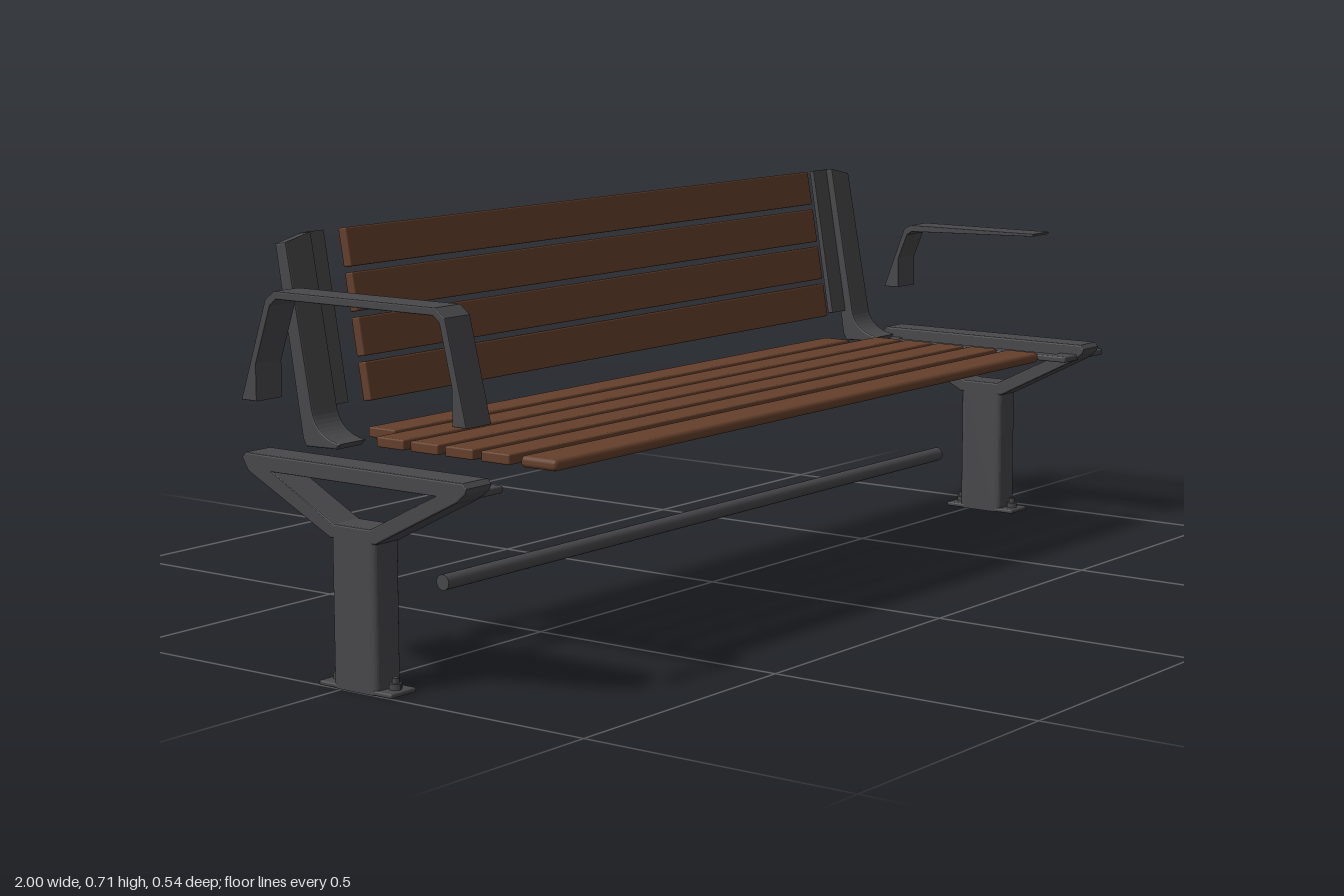
import * as THREE from 'three';
import { RoundedBoxGeometry } from 'three/addons/geometries/RoundedBoxGeometry.js';

const wood = new THREE.MeshStandardMaterial({ color: 0x65402c });
wood.name = 'brown wood';
const metal = new THREE.MeshStandardMaterial({ color: 0x48484b });
metal.name = 'dark grey metal';

function add(parent, name, geometry, material, x = 0, y = 0, z = 0) {
  const mesh = new THREE.Mesh(geometry, material);
  mesh.name = name;
  mesh.position.set(x, y, z);
  parent.add(mesh);
  return mesh;
}

const toShape = pts => new THREE.Shape(pts.map(p => new THREE.Vector2(...p)));

// Side profile given in (z, y), extruded along x and centred on x = 0
function sideExtrude(shape, width, bevel = 0.003) {
  const g = new THREE.ExtrudeGeometry(shape, {
    depth: width - 2 * bevel, bevelEnabled: bevel > 0, bevelSize: bevel,
    bevelOffset: -bevel, bevelThickness: bevel, bevelSegments: 2, curveSegments: 10,
  });
  g.translate(0, 0, -(width - 2 * bevel) / 2);
  g.rotateY(-Math.PI / 2);
  return g;
}

const box = (w, h, d, r = 0.003) => new RoundedBoxGeometry(w, h, d, 2, r);

// Leg: oval-cornered post, Y-shaped arms under a seat beam, slat rails on the given sides
function makeLeg(name, x, railSides) {
  const leg = new THREE.Group();
  leg.name = name;
  leg.position.x = x;

  // Post
  const w = 0.03, d = 0.049, r = 0.014, s = new THREE.Shape();
  s.moveTo(-w + r, -d);
  s.lineTo(w - r, -d).quadraticCurveTo(w, -d, w, -d + r);
  s.lineTo(w, d - r).quadraticCurveTo(w, d, w - r, d);
  s.lineTo(-w + r, d).quadraticCurveTo(-w, d, -w, d - r);
  s.lineTo(-w, -d + r).quadraticCurveTo(-w, -d, -w + r, -d);
  const post = new THREE.ExtrudeGeometry(s, { depth: 0.25, bevelEnabled: false, curveSegments: 6 });
  post.rotateX(-Math.PI / 2);
  add(leg, 'post', post, metal, 0, 0, 0.029);

  // Triangular frame with an opening between arms and beam
  const frame = toShape([[0.078, 0.246], [0.25, 0.333], [0.268, 0.348], [0.272, 0.358], [0.264, 0.366],
    [-0.205, 0.366], [-0.214, 0.357], [-0.2, 0.335], [-0.02, 0.246]]);
  frame.holes.push(new THREE.Path([[0.067, 0.27], [-0.01, 0.27], [-0.145, 0.339], [0.205, 0.339]]
    .map(p => new THREE.Vector2(...p))));
  add(leg, 'seatFrame', sideExtrude(frame, 0.06), metal);

  // Base plate and anchor bolts
  add(leg, 'basePlate', box(0.06, 0.008, 0.158), metal, 0, 0.004, 0.029);
  for (const z of [0.09, -0.032]) {
    add(leg, 'anchorNut', new THREE.CylinderGeometry(0.011, 0.011, 0.01, 6), metal, 0, 0.013, z);
    add(leg, 'anchorBolt', new THREE.CylinderGeometry(0.006, 0.006, 0.018, 12), metal, 0, 0.018, z);
  }

  // Slat rails joined to the beam by end tabs
  for (const side of railSides) {
    add(leg, 'slatRail', box(0.032, 0.012, 0.46), metal, side * 0.06, 0.34, 0.025);
    for (const z of [0.235, -0.185])
      add(leg, 'railTab', box(0.03, 0.012, 0.04), metal, side * 0.036, 0.34, z);
  }
  return leg;
}

// Backrest bracket: leaning side plate with a forward foot, plus a slat flange at the rear
function makeBackBracket(name, x, inward) {
  const bracket = new THREE.Group();
  bracket.name = name;
  bracket.position.x = x;
  const s = new THREE.Shape();
  s.moveTo(-0.13, 0.366);
  s.quadraticCurveTo(-0.185, 0.372, -0.195, 0.415);
  s.lineTo(-0.248, 0.706).lineTo(-0.272, 0.702).lineTo(-0.217, 0.367);
  s.lineTo(-0.21, 0.354).lineTo(-0.14, 0.356);
  const plate = sideExtrude(s, 0.062);

  // Round the outer top corner
  const p = plate.attributes.position;
  for (let i = 0; i < p.count; i++)
    if (p.getY(i) > 0.69 && p.getX(i) * inward < -0.027) p.setY(i, p.getY(i) - 0.012);
  plate.computeVertexNormals();
  add(bracket, 'sidePlate', plate, metal);

  const flange = toShape([[-0.212, 0.415], [-0.262, 0.705], [-0.272, 0.703], [-0.224, 0.413]]);
  add(bracket, 'slatFlange', sideExtrude(flange, 0.05, 0.002), metal, inward * 0.052, 0, 0);
  return bracket;
}

export function createModel() {
  const bench = new THREE.Group();
  bench.name = 'bench';

  bench.add(makeLeg('rightLeg', -0.97, [1]));
  bench.add(makeLeg('leftLeg', 0.923, [-1, 1]));
  bench.add(makeBackBracket('rightBackBracket', -0.823, 1));
  bench.add(makeBackBracket('leftBackBracket', 0.778, -1));

  // Hoop armrest
  const hoop = toShape([[0.272, 0.452], [0.231, 0.62], [0.212, 0.635], [-0.133, 0.635], [-0.153, 0.621],
    [-0.211, 0.452], [-0.177, 0.452], [-0.177, 0.513], [-0.143, 0.61], [-0.129, 0.622],
    [0.206, 0.622], [0.219, 0.612], [0.243, 0.513], [0.243, 0.452]]);
  add(bench, 'hoopArmrest', sideExtrude(hoop, 0.06, 0.002), metal, -0.97);

  // Cantilevered armrest, open at the front
  const cantilever = toShape([[0.15, 0.584], [-0.148, 0.584], [-0.163, 0.576], [-0.211, 0.452],
    [-0.177, 0.452], [-0.177, 0.513], [-0.156, 0.564], [-0.145, 0.571], [0.148, 0.579]]);
  add(bench, 'cantileverArmrest', sideExtrude(cantilever, 0.062, 0.001), metal, 0.923);

  // Seat slats, the rear one shorter to fit between the back brackets
  for (const z of [-0.094, -0.018, 0.058, 0.136])
    add(bench, 'seatSlat', box(1.505, 0.018, 0.061), wood, -0.0225, 0.36, z);
  add(bench, 'frontSeatSlat', box(1.505, 0.02, 0.075, 0.008), wood, -0.0225, 0.36, 0.226);
  add(bench, 'rearSeatSlat', box(1.37, 0.018, 0.061), wood, -0.025, 0.36, -0.172);

  // Back slats along the leaning back
  for (let i = 0; i < 4; i++) {
    const y = 0.446 + i * 0.0755;
    const slat = add(bench, 'backSlat', box(1.37, 0.067, 0.018), wood, -0.025, y, -0.21 - (y - 0.446) * 0.177);
    slat.rotation.x = -0.175;
  }

  // Lower tie bar
  const bar = add(bench, 'tieBar', new THREE.CylinderGeometry(0.0135, 0.0135, 1.515, 20), metal, -0.0225, 0.14, 0.024);
  bar.rotation.z = Math.PI / 2;
  return bench;
}
